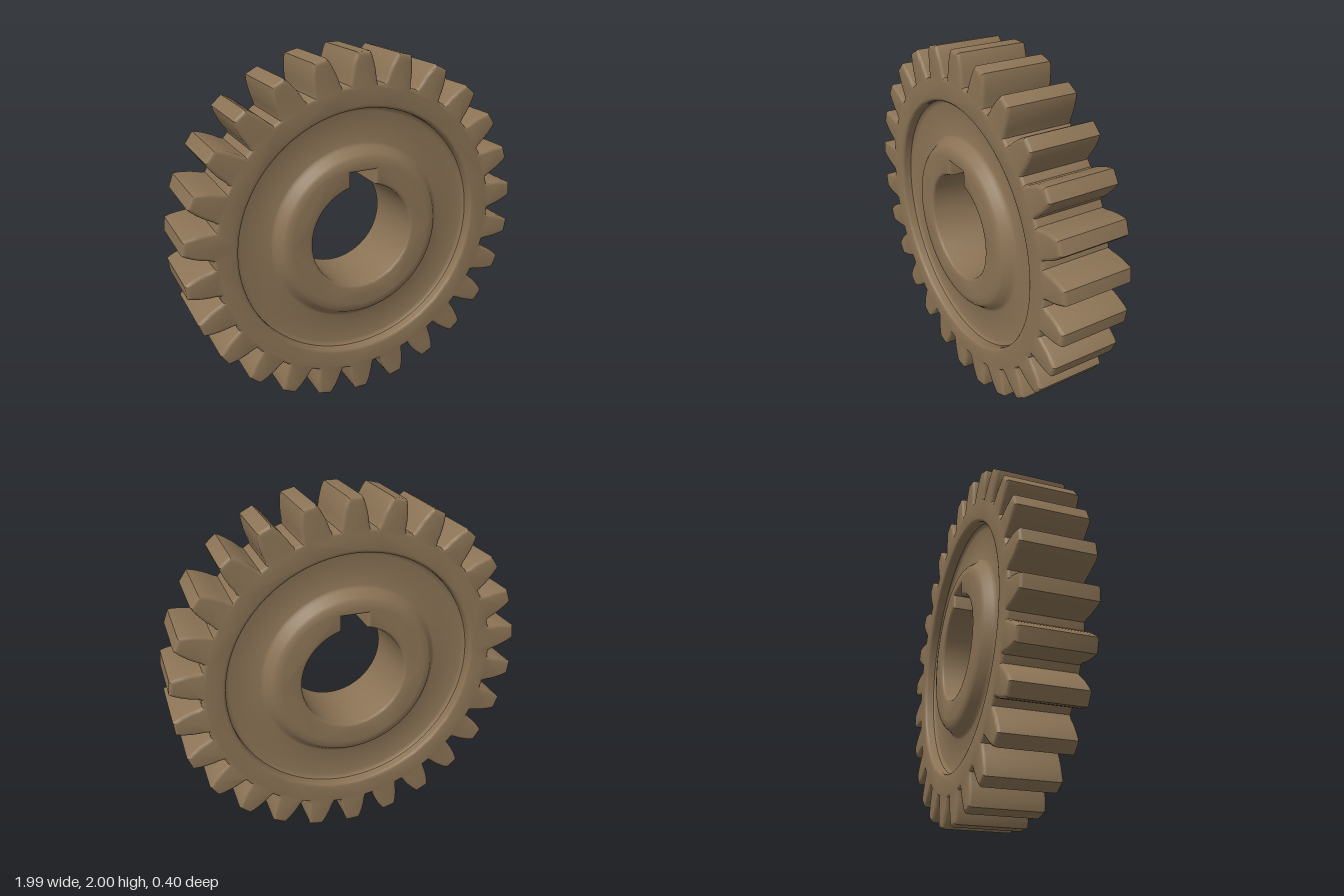
import * as THREE from 'three';
import { toCreasedNormals } from 'three/addons/utils/BufferGeometryUtils.js';

const TEETH = 26;
const HALF = 0.2; // half the face width

// Half of one tooth: [half width, radius], from root to tip
const FLANK = [
  [0.081, 0.838], [0.075, 0.86], [0.072, 0.89], [0.066, 0.92],
  [0.058, 0.95], [0.049, 0.977], [0.038, 0.999],
];

// Point at a counter-clockwise angle from straight up
const polar = (r, a) => new THREE.Vector2(-r * Math.sin(a), r * Math.cos(a));

function circlePoints(r, n = 96) {
  return Array.from({ length: n }, (_, i) => polar(r, (i / n) * Math.PI * 2));
}

function toothedOutline() {
  const points = [];
  for (let i = 0; i < TEETH; i++) {
    const a = (i / TEETH) * Math.PI * 2;
    for (const [w, r] of FLANK) points.push(polar(r, a - w / r));
    for (const [w, r] of [...FLANK].reverse()) points.push(polar(r, a + w / r));
  }
  return points;
}

// Round bore with a square keyway at the top
function keyedBore(r, halfWidth, top) {
  const start = Math.asin(halfWidth / r);
  const points = [];
  const n = 72;
  for (let i = 0; i <= n; i++) {
    points.push(polar(r, start + (i / n) * (Math.PI * 2 - 2 * start)));
  }
  points.push(new THREE.Vector2(halfWidth, top), new THREE.Vector2(-halfWidth, top));
  return points;
}

// Full-width plate with softened edges, centred on z = 0
function plate(outline, hole, bevel) {
  const shape = new THREE.Shape(outline);
  shape.holes.push(new THREE.Path(hole));
  const geometry = new THREE.ExtrudeGeometry(shape, {
    depth: 2 * (HALF - bevel),
    bevelThickness: bevel,
    bevelSize: bevel,
    bevelOffset: -bevel,
    bevelSegments: 3,
  });
  geometry.translate(0, 0, -(HALF - bevel));
  return toCreasedNormals(geometry, 0.6);
}

export function createModel() {
  const gear = new THREE.Group();
  gear.name = 'gear';
  const brown = new THREE.MeshStandardMaterial({ color: 0x8b7355 });
  brown.name = 'brown';

  const add = (name, geometry) => {
    const mesh = new THREE.Mesh(geometry, brown);
    mesh.name = name;
    mesh.position.y = 1;
    gear.add(mesh);
    return mesh;
  };

  // Rim with teeth, and the hub core around the bore
  add('toothedRim', plate(toothedOutline(), circlePoints(0.71), 0.018));
  add('hubCore', plate(circlePoints(0.436), keyedBore(0.3, 0.075, 0.375), 0.016));

  // Recessed web rising to the sloped hub shoulder, one on each side
  const profile = [
    [0.718, 0.155], [0.708, 0.142], [0.698, 0.134], [0.685, 0.13],
    [0.515, 0.13], [0.503, 0.135], [0.492, 0.148], [0.466, 0.184],
    [0.45, 0.196], [0.42, HALF],
  ].map(([r, z]) => new THREE.Vector2(r, z));
  const web = toCreasedNormals(new THREE.LatheGeometry(profile, 96).rotateX(Math.PI / 2), 0.6);
  add('frontWeb', web);
  add('backWeb', web).rotation.y = Math.PI;

  return gear;
}
